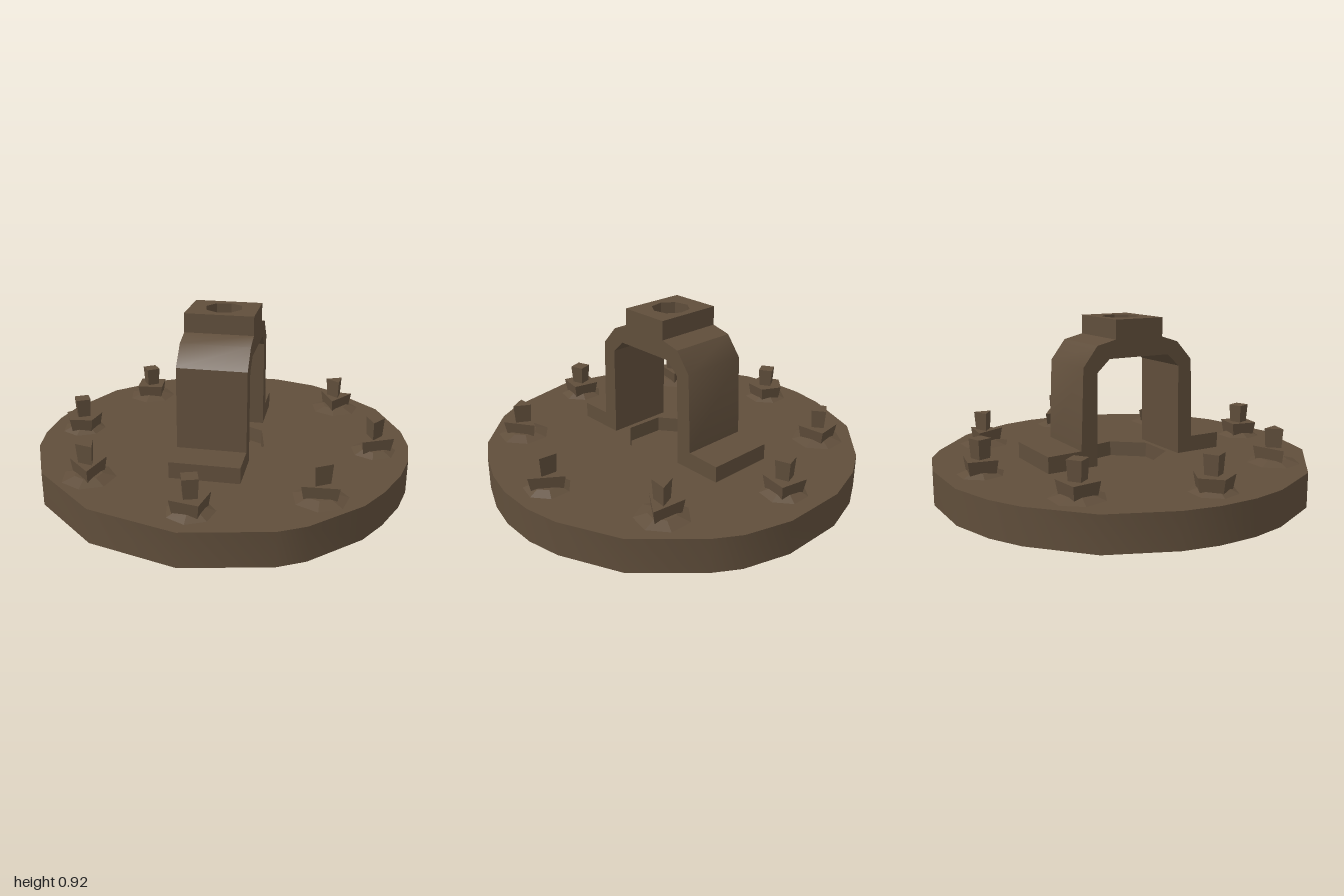
import * as THREE from 'three';
import { toCreasedNormals } from 'three/addons/utils/BufferGeometryUtils.js';

const iron = new THREE.MeshStandardMaterial({ color: 0x604e3b, side: THREE.DoubleSide });
iron.name = 'brown iron';

const toShape = (pts) => new THREE.Shape(pts.map(([x, y]) => new THREE.Vector2(x, y)));

const polygon = (radius, sides, turn) =>
  Array.from({ length: sides }, (_, i) => {
    const a = turn + (i / sides) * Math.PI * 2;
    return [Math.cos(a) * radius, Math.sin(a) * radius];
  });

// Slab between two heights from an (x, z) outline and a hole, both in the same winding
function slab(outline, hole, bottom, top) {
  const flip = (pts) => pts.map(([x, z]) => [x, -z]);
  const shape = toShape(flip(outline));
  shape.holes.push(toShape(flip(hole).reverse()));
  const geo = new THREE.ExtrudeGeometry(shape, { depth: top - bottom, bevelEnabled: false });
  return geo.rotateX(-Math.PI / 2).translate(0, bottom, 0);
}

function add(parent, name, geo) {
  const mesh = new THREE.Mesh(geo, iron);
  mesh.name = name;
  parent.add(mesh);
  return mesh;
}

// Low-poly prism between two heights
function prism(topR, bottomR, bottom, top, sides, open = false) {
  const geo = new THREE.CylinderGeometry(topR, bottomR, top - bottom, sides, 1, open).toNonIndexed();
  geo.translate(0, (bottom + top) / 2, 0);
  geo.computeVertexNormals();
  return geo;
}

// Rough bolt: flat conical washer, nut and flared stud
function createBolt(index, nutSides, nutTurn) {
  const bolt = new THREE.Group();
  bolt.name = 'bolt' + (index + 1);
  const washerR = index % 2 ? 0.145 : 0.125;
  add(bolt, 'washer', prism(0.07, washerR, 0.178, 0.2, 7));
  add(bolt, 'nut', prism(0.105, 0.09, 0.185, 0.26, nutSides)).rotation.y = nutTurn;
  add(bolt, 'stud', prism(0.055, 0.046, 0.25, 0.36, nutSides === 3 ? 3 : 4)).rotation.y = nutTurn + 0.5;
  return bolt;
}

export function createModel() {
  const model = new THREE.Group();
  model.name = 'boltedCover';

  // Irregular disc rim, open underneath
  const outline = [
    [-0.17, -1], [0.17, -1], [0.41, -0.93], [0.54, -0.85], [0.82, -0.59], [0.96, -0.28],
    [0.995, -0.1], [0.99, 0.1], [0.95, 0.27], [0.87, 0.46], [0.78, 0.61], [0.54, 0.84],
    [0.41, 0.91], [-0.02, 1], [-0.47, 0.88], [-0.82, 0.58], [-0.96, 0.28], [-0.995, 0.1],
    [-0.995, -0.1], [-0.96, -0.28], [-0.82, -0.6], [-0.56, -0.84], [-0.4, -0.93],
  ];
  const recess = polygon(0.64, 12, 0.2);
  const cupTurn = 0.25;
  add(model, 'discRim', toCreasedNormals(slab(outline, recess, 0, 0.18), 0.6));

  // Thin web closing the top of the recess
  add(model, 'discWeb', slab(recess, polygon(0.24, 7, cupTurn), 0.17, 0.18));

  // Sunken cup in the middle
  const cupWall = prism(0.24, 0.235, 0.1, 0.18, 7, true);
  add(model, 'cupWall', cupWall.rotateY(Math.PI / 2 - cupTurn));
  const cupFloor = new THREE.CircleGeometry(0.235, 7, -cupTurn);
  add(model, 'cupFloor', cupFloor.rotateX(-Math.PI / 2).translate(0, 0.1, 0));

  // Arched bracket: two side profiles in (z, y)
  const bracket = new THREE.Group();
  bracket.name = 'bracket';
  model.add(bracket);
  const arms = {
    frontArm: [
      [0.245, 0.175], [0.51, 0.175], [0.51, 0.265], [0.332, 0.265], [0.32, 0.69], [0.23, 0.79],
      [0.135, 0.82], [0.135, 0.725], [0.17, 0.725], [0.24, 0.66],
    ],
    backArm: [
      [-0.255, 0.175], [-0.53, 0.175], [-0.53, 0.265], [-0.345, 0.27], [-0.33, 0.69], [-0.25, 0.795],
      [-0.145, 0.82], [-0.145, 0.725], [-0.18, 0.725], [-0.25, 0.66],
    ],
  };
  for (const [name, profile] of Object.entries(arms)) {
    const geo = new THREE.ExtrudeGeometry(toShape(profile), { depth: 0.36, bevelEnabled: false });
    geo.rotateY(-Math.PI / 2).translate(0.18, 0, 0);
    add(bracket, name, toCreasedNormals(geo, 0.63));
  }

  // Bored block at the crown
  const block = [[-0.18, -0.145], [0.18, -0.145], [0.18, 0.135], [-0.18, 0.135]];
  const bore = polygon(0.1, 8, 0.2).map(([x, z]) => [x, z - 0.01]);
  add(bracket, 'boredBlock', slab(block, bore, 0.725, 0.92));

  // Ring of eight bolts: nut sides and turn for each
  const nuts = [[3, 1.5], [3, 1.1], [4, 0.6], [3, 0.3], [5, 0.8], [4, 0.9], [4, 0.6], [3, 2]];
  nuts.forEach(([sides, turn], i) => {
    const a = (i / 8) * Math.PI * 2;
    const bolt = createBolt(i, sides, turn);
    bolt.position.set(Math.cos(a) * 0.81, 0, Math.sin(a) * 0.81);
    model.add(bolt);
  });

  return model;
}
